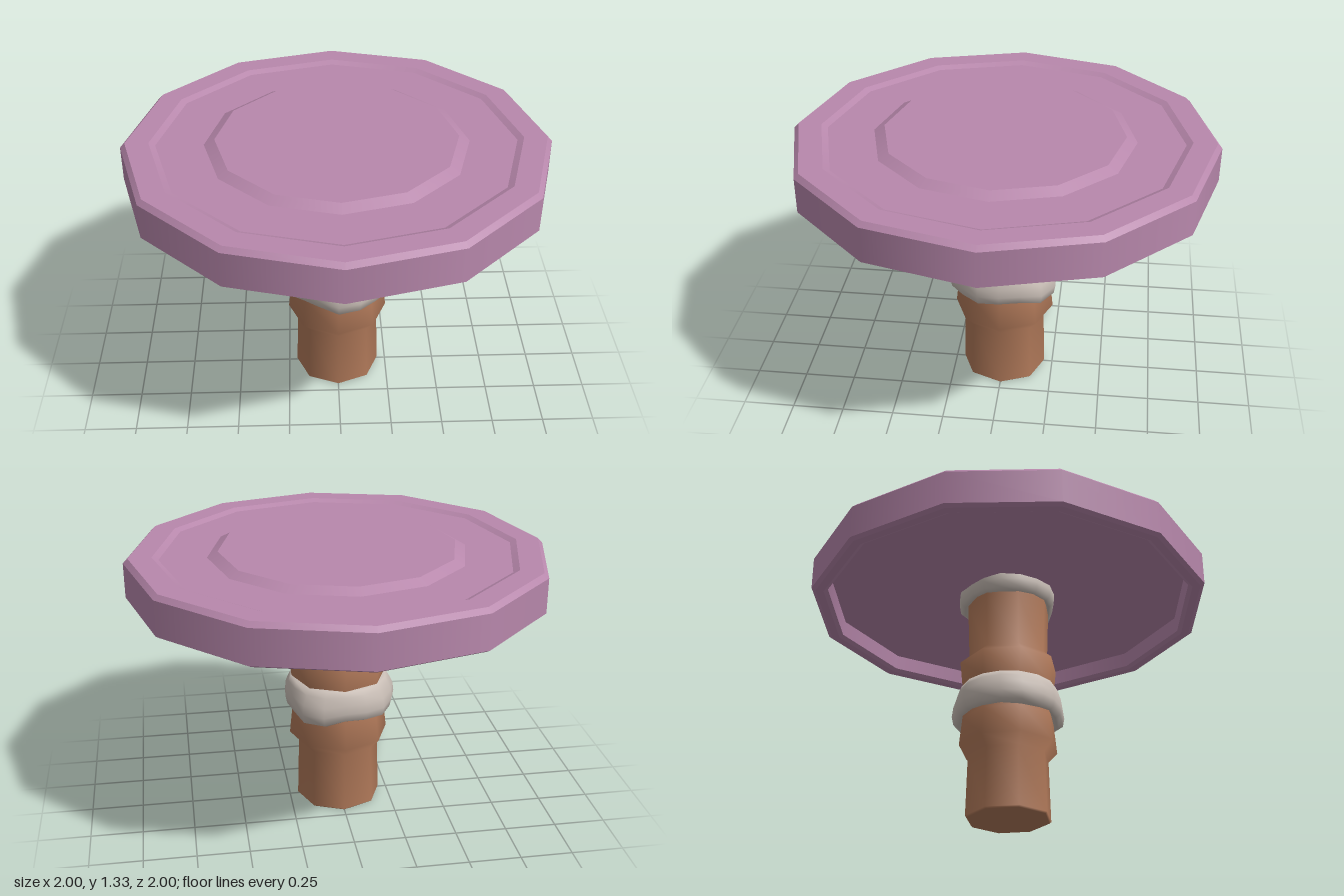
import * as THREE from 'three';
import { mergeGeometries } from 'three/addons/utils/BufferGeometryUtils.js';

const mat = (name, color) => {
  const m = new THREE.MeshStandardMaterial({ color });
  m.name = name;
  return m;
};

const lathe = (list, sides) => {
  const geo = new THREE.LatheGeometry(list.map(([r, y]) => new THREE.Vector2(r, y)), sides);
  geo.normalizeNormals();
  return geo;
};

// Lathe that is smooth around the axis but sharp between profile segments
function bandedLathe(profile, sides) {
  const bands = [];
  for (let i = 0; i < profile.length - 1; i++) bands.push(lathe([profile[i], profile[i + 1]], sides));
  return mergeGeometries(bands);
}

// Soft lumpy ring around the stalk with a ragged lower edge
function raggedCollar(baseY, phase, scale) {
  const profile = [[0.2, 0.03], [0.238, 0], [0.262, 0.015], [0.27, 0.06], [0.266, 0.11], [0.25, 0.155], [0.236, 0.185], [0.2, 0.185]];
  const sides = 16, rows = profile.length;
  const geo = lathe(profile, sides);
  const p = geo.attributes.position;
  for (let i = 0; i < p.count; i++) {
    const x = p.getX(i), y = p.getY(i), z = p.getZ(i);
    const a = Math.atan2(x, z) + phase;
    const low = 1 - y / 0.185;
    const wave = 0.5 * Math.sin(3 * a) + 0.5 * Math.sin(5 * a + 1);
    const k = scale * (1 + (0.01 + 0.07 * wave) * Math.min(1, 2 * low));
    p.setXYZ(i, x * k, baseY + y + 0.016 * low * (1 - wave), z * k);
  }
  // Matching normals across the lathe seam
  geo.computeVertexNormals();
  const n = geo.attributes.normal, last = sides * rows;
  for (let j = 0; j < rows; j++) {
    const v = new THREE.Vector3().fromBufferAttribute(n, j)
      .add(new THREE.Vector3().fromBufferAttribute(n, last + j)).normalize();
    n.setXYZ(j, v.x, v.y, v.z);
    n.setXYZ(last + j, v.x, v.y, v.z);
  }
  return geo;
}

export function createModel() {
  const group = new THREE.Group();
  group.name = 'mushroom';
  const lilac = mat('lilac cap', 0xb888ac);
  const brown = mat('brown stalk', 0xb27a5a);
  const cream = mat('pale grey collar', 0xc9beb6);

  const add = (name, geo, material) => {
    const mesh = new THREE.Mesh(geo, material);
    mesh.name = name;
    group.add(mesh);
  };

  // Cap: shallow hollow underneath, raised rim and raised centre on top
  add('cap', bandedLathe([
    [0, 1.2], [0.91, 1.2], [0.92, 1.125], [0.94, 1.112], [0.98, 1.112],
    [1, 1.124], [1, 1.29], [0.978, 1.312], [0.868, 1.312], [0.838, 1.298],
    [0.615, 1.298], [0.565, 1.325], [0, 1.325],
  ], 12), lilac);

  // Stalk: eight sides with two swellings, smooth down into the foot
  add('stalk', lathe([
    [0, 0], [0.2, 0], [0.209, 0.008], [0.2, 0.31], [0.245, 0.36], [0.23, 0.5], [0.222, 0.58],
    [0.232, 0.67], [0.245, 0.8], [0.2, 0.84], [0.21, 1.12], [0.21, 1.21],
  ], 8), brown);

  // Collars: one round the middle, one tucked under the cap
  add('middleCollar', raggedCollar(0.486, 0.1, 1), cream);
  add('upperCollar', raggedCollar(1.105, 2.1, 0.9), cream);

  return group;
}
